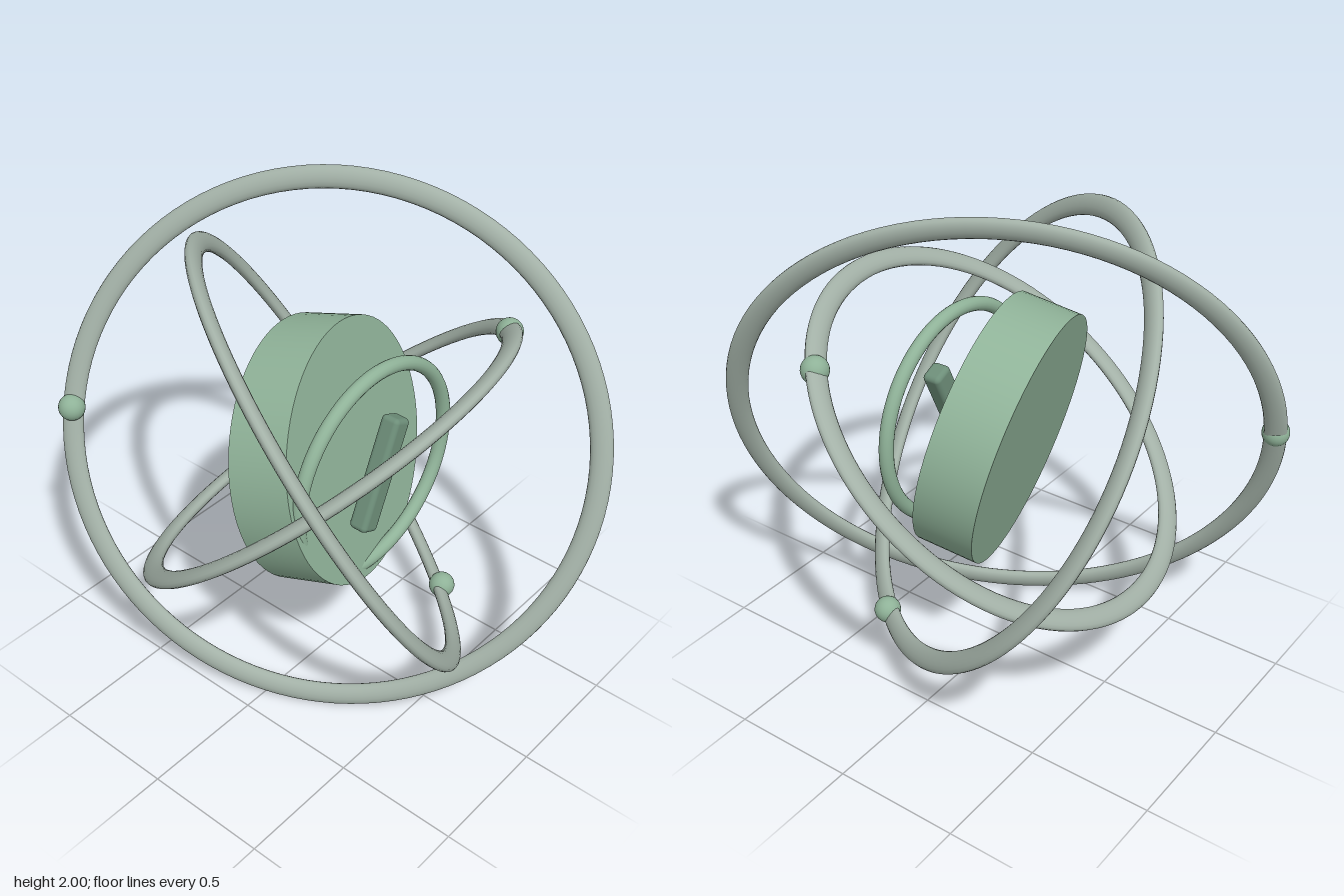
import * as THREE from 'three';
import { RoundedBoxGeometry } from 'three/addons/geometries/RoundedBoxGeometry.js';

export function createModel() {
  const model = new THREE.Group();
  const material = (name, color) => {
    const m = new THREE.MeshStandardMaterial({ color });
    m.name = name;
    return m;
  };
  const ringGrey = material('grey green', 0xa3b1a7);
  const bodyGreen = material('sage green', 0x8fb298);
  const barGreen = material('dark sage', 0x6d8e79);

  const centre = new THREE.Vector3(0, 1.005, 0);
  const add = (name, geometry, mat, offset = [0, 0, 0]) => {
    const mesh = new THREE.Mesh(geometry, mat);
    mesh.name = name;
    mesh.position.set(...offset).add(centre);
    model.add(mesh);
    return mesh;
  };
  // turns a mesh so that its own axis points along a direction
  const aim = (mesh, from, to) =>
    mesh.quaternion.setFromUnitVectors(new THREE.Vector3(...from), new THREE.Vector3(...to).normalize());

  // tilted disc in the middle
  const disc = add('disc', new THREE.CylinderGeometry(0.51, 0.51, 0.24, 72), bodyGreen);
  aim(disc, [0, 1, 0], [0.23, 0.23, 0.95]);

  // upright hoop, partly sunk into the disc's front face
  add('dialHoop', new THREE.TorusGeometry(0.425, 0.028, 16, 80), bodyGreen, [0, 0.005, 0.22]);

  // slanted bar in front of the disc
  const bar = add('pointerBar', new RoundedBoxGeometry(0.09, 0.46, 0.08, 3, 0.02), barGreen, [0, 0, 0.245]);
  bar.rotation.z = -0.43;

  // three flattened orbit rings, each with a bead
  const orbits = [
    { name: 'outer', radius: 1.02, axis: [0.82, -0.34, -0.46], bead: [-0.5, 0.05, -0.89] },
    { name: 'middle', radius: 0.912, axis: [0.67, 0.51, 0.54], bead: [0.37, -0.77, 0.3] },
    { name: 'inner', radius: 0.81, axis: [-0.12, 0.77, -0.62], bead: [0.6, 0.39, 0.38] },
  ];
  for (const { name, radius, axis, bead } of orbits) {
    const geometry = new THREE.TorusGeometry(radius, 0.043, 16, 112);
    geometry.scale(1, 1, 0.58);
    aim(add(name + 'Ring', geometry, ringGrey), [0, 0, 1], axis);
    add(name + 'Bead', new THREE.SphereGeometry(0.053, 24, 16), bodyGreen, bead);
  }
  return model;
}
